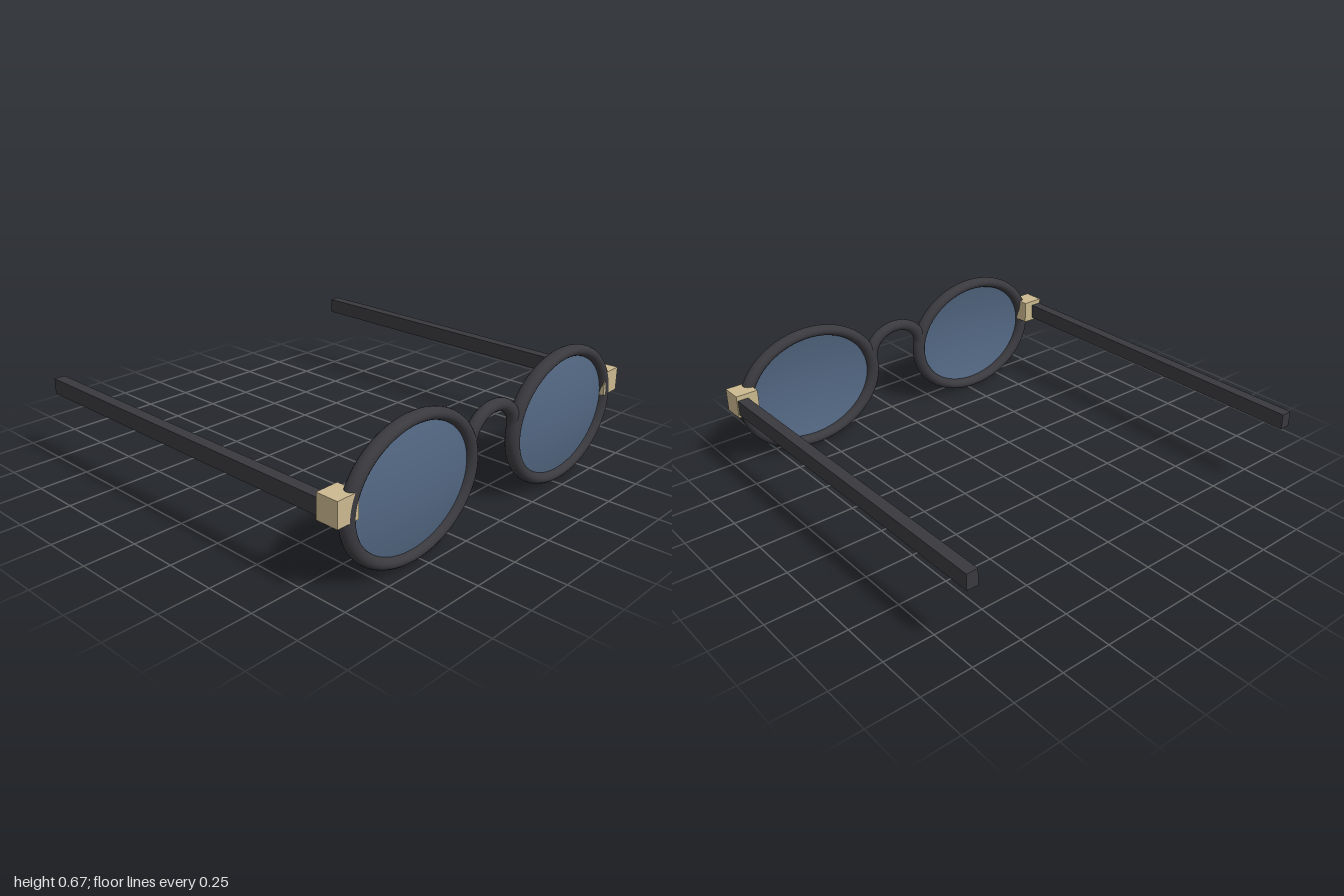
import * as THREE from 'three';

const frame = new THREE.MeshStandardMaterial({ color: 0x3a393e });
frame.name = 'charcoal frame';
const brass = new THREE.MeshStandardMaterial({ color: 0xcbb98f });
brass.name = 'pale brass';
const glass = new THREE.MeshStandardMaterial({ color: 0x526782, side: THREE.DoubleSide });
glass.name = 'blue glass';

const RIM_X = 0.537, RIM_Y = 0.337, RIM_Z = 0.93;
const RIM_R = 0.306, STRETCH = 1.245;

function add(parent, name, geometry, material, x, y, z) {
  const mesh = new THREE.Mesh(geometry, material);
  mesh.name = name;
  mesh.position.set(x, y, z);
  parent.add(mesh);
  return mesh;
}

// Shallow spherical cap bulging towards +z
function lensGeometry(radius, depth) {
  const sphereR = (radius * radius + depth * depth) / (2 * depth);
  const angle = Math.asin(radius / sphereR);
  const cap = new THREE.SphereGeometry(sphereR, 64, 12, 0, Math.PI * 2, 0, angle);
  cap.translate(0, depth - sphereR, 0);
  cap.rotateX(Math.PI / 2);
  return cap;
}

export function createModel() {
  const glasses = new THREE.Group();
  glasses.name = 'glasses';

  for (const [side, s] of [['left', 1], ['right', -1]]) {
    // Oval rim and its domed lens
    const rim = add(glasses, side + 'Rim', new THREE.TorusGeometry(RIM_R, 0.027, 20, 96), frame,
      s * RIM_X, RIM_Y, RIM_Z);
    rim.scale.set(STRETCH, 1, 1.27);
    const lens = add(glasses, side + 'Lens', lensGeometry(RIM_R, 0.038), glass,
      s * RIM_X, RIM_Y, RIM_Z);
    lens.scale.x = STRETCH;

    // Hinge block and straight temple arm
    add(glasses, side + 'Hinge', new THREE.BoxGeometry(0.115, 0.118, 0.112), brass,
      s * 0.9425, 0.4, 0.904);
    add(glasses, side + 'Temple', new THREE.BoxGeometry(0.056, 0.078, 1.84), frame,
      s * 0.967, 0.395, -0.048);
  }

  // Arched nose bridge, ends buried in the rims
  const bridge = add(glasses, 'bridge', new THREE.TorusGeometry(0.135, 0.029, 20, 48, Math.PI), frame,
    0, 0.4, 0.926);
  bridge.scale.x = 1.2;

  return glasses;
}
